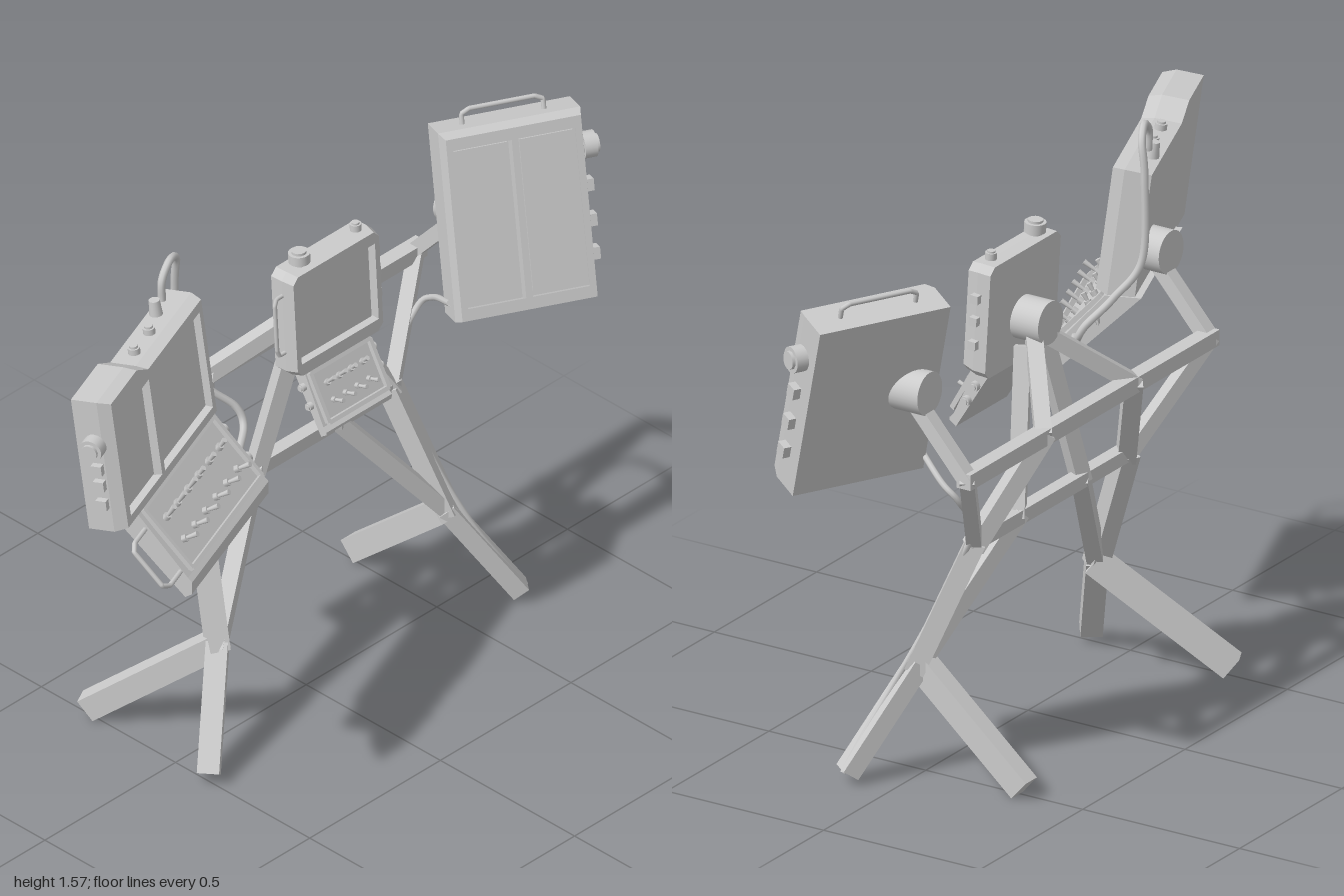
import * as THREE from 'three';

const mat = new THREE.MeshStandardMaterial({ color: 0xcccccc, side: THREE.DoubleSide });
const V = (p) => new THREE.Vector3(...p);

function add(parent, name, geo, pos = [0, 0, 0], rot = [0, 0, 0]) {
  const m = new THREE.Mesh(geo, mat);
  m.name = name;
  m.position.set(...pos);
  m.rotation.set(...rot);
  parent.add(m);
  return m;
}

function group(parent, name, pos = [0, 0, 0]) {
  const g = new THREE.Group();
  g.name = name;
  g.position.set(...pos);
  parent.add(g);
  return g;
}

// square bar between two points
function beam(parent, name, a, b, w = 0.045, h = w) {
  const A = V(a), B = V(b);
  const m = add(parent, name, new THREE.BoxGeometry(w, h, A.distanceTo(B) + w * 0.4));
  m.position.copy(A).lerp(B, 0.5);
  m.lookAt(B);
}

function tube(parent, name, pts, r, tension = 0.5) {
  const curve = new THREE.CatmullRomCurve3(pts.map(V), false, 'catmullrom', tension);
  add(parent, name, new THREE.TubeGeometry(curve, pts.length * 10, r, 8));
}

// U-shaped grip: rises from both ends along the out direction
function handle(parent, a, b, out, r = 0.007) {
  const A = V(a), B = V(b), O = V(out);
  const path = new THREE.CurvePath();
  const p = (end, k, other, t) => end.clone().addScaledVector(O, k).lerp(other.clone().addScaledVector(O, k), t);
  const pts = [A, p(A, 0.75, B, 0), p(A, 1, B, 0.1), p(B, 1, A, 0.1), p(B, 0.75, A, 0), B];
  for (let i = 0; i < 5; i++) path.add(new THREE.LineCurve3(pts[i], pts[i + 1]));
  add(parent, 'handle', new THREE.TubeGeometry(path, 60, r, 8));
}

const outlineShape = (pts) => new THREE.Shape(pts.map((p) => new THREE.Vector2(...p)));
const rect = (x0, y0, x1, y1) => [[x0, y0], [x1, y0], [x1, y1], [x0, y1]];

// monitor housing with a tapered bezel and sunken screens
function housing(parent, outline, depth, screens) {
  const bezel = 0.035;
  const back = new THREE.ExtrudeGeometry(outlineShape(outline), { depth: depth - bezel, bevelEnabled: false });
  add(parent, 'housing', back, [0, 0, -depth / 2]);
  const shape = outlineShape(outline);
  screens.forEach((s) => shape.holes.push(new THREE.Path(rect(...s).map((p) => new THREE.Vector2(...p)))));
  const front = new THREE.ExtrudeGeometry(shape, { depth: bezel, bevelEnabled: false });
  const p = front.attributes.position;
  for (let i = 0; i < p.count; i++)
    if (p.getZ(i) > bezel / 2) p.setXY(i, p.getX(i) * 0.95, p.getY(i) * 0.96);
  front.computeVertexNormals();
  add(parent, 'bezel', front, [0, 0, depth / 2 - bezel]);
  for (const [x0, y0, x1, y1] of screens)
    add(parent, 'screen', new THREE.BoxGeometry((x1 - x0) * 0.9, (y1 - y0) * 0.92, 0.016),
      [(x0 + x1) / 2 * 0.98, (y0 + y1) / 2, depth / 2 - bezel + 0.008]);
}

// knob whose axis follows x (side) or y (top)
function knob(parent, pos, r, len, axis) {
  const rot = axis === 'x' ? [0, 0, Math.PI / 2] : [0, 0, 0];
  add(parent, 'knob', new THREE.CylinderGeometry(r, r, len, 20), pos, rot);
  add(parent, 'knobCollar', new THREE.CylinderGeometry(r * 0.7, r * 0.7, len * 1.5, 12), pos, rot);
}
const button = (parent, pos, s = 0.03) => add(parent, 'sideButton', new THREE.BoxGeometry(s, s, s), pos);

// sloped control tray; returns the group lying on its top surface
function tray(parent, w, x, z0, y0, run, drop, lip, back) {
  const g = group(parent, 'controlTray', [x, y0, z0]);
  const s = outlineShape([[0, 0], [-back, 0], [run - 0.02, -drop - lip - 0.015], [run, -drop - lip],
    [run, -drop - 0.012], [run - 0.012, -drop]]);
  const geo = new THREE.ExtrudeGeometry(s, { depth: w, bevelEnabled: false });
  geo.translate(0, 0, -w / 2).rotateY(-Math.PI / 2);
  add(g, 'trayBody', geo);
  const top = group(g, 'controls', [0, -drop / 2, run / 2]);
  top.rotation.x = Math.atan2(drop, run);
  const L = Math.hypot(run, drop);
  for (const k of [-1, 1]) {
    add(top, 'trayRim', new THREE.BoxGeometry(w * 0.92, 0.014, 0.012), [0, 0.004, k * L * 0.42]);
    add(top, 'trayRim', new THREE.BoxGeometry(0.012, 0.014, L * 0.84), [k * w * 0.455, 0.004, 0]);
  }
  return top;
}

function toggles(parent, cols, rows, dx, dz, s) {
  for (let r = 0; r < rows; r++)
    for (let c = 0; c < cols; c++) {
      const len = s * (r === 0 && c >= cols / 2 ? 3 : 4.5);
      const t = group(parent, 'toggle', [(c - (cols - 1) / 2) * dx, 0, (r - (rows - 1) / 2) * dz]);
      t.rotation.x = r === 0 ? -0.3 : 0.15;
      add(t, 'toggleBase', new THREE.CylinderGeometry(s * 1.2, s * 1.2, s * 1.6, 6), [0, s * 0.6, 0]);
      add(t, 'toggleLever', new THREE.CylinderGeometry(s * 0.9, s * 0.55, len, 8), [0, len / 2 + s, 0]);
    }
}

function station(root, name, pos, yaw, pitch) {
  const g = group(root, name, pos);
  g.rotation.y = yaw;
  const head = group(g, 'monitor');
  head.rotation.x = pitch;
  return [g, head];
}

function buildFrame(root) {
  const f = group(root, 'frame');
  const cx = 0.09;
  beam(f, 'upperCrossbar', [cx - 0.6, 0.97, -0.25], [cx + 0.6, 0.97, -0.25]);
  beam(f, 'lowerCrossbar', [cx - 0.38, 0.69, -0.13], [cx + 0.38, 0.69, -0.13], 0.04);
  for (const s of [-1, 1]) {
    const P = (x, y, z) => [cx + s * x, y, z];
    const knee = P(0.44, 0.32, 0.01), hip = P(0.37, 0.68, -0.13), shoulder = P(0.22, 0.97, -0.25);
    beam(f, 'frontFoot', knee, P(0.59, 0.05, 0.125), 0.06, 0.05);
    beam(f, 'leg', knee, hip, 0.055);
    beam(f, 'upperLeg', hip, shoulder, 0.05);
    beam(f, 'hubStrut', shoulder, P(0.02, 1.15, -0.09));
    beam(f, 'innerBrace', P(0.05, 1.12, -0.075), P(0.155, 0.69, -0.125), 0.045);
    beam(f, 'lowerBrace', P(0.155, 0.69, -0.125), knee, 0.045);
    beam(f, 'outerStrut', hip, P(0.59, 0.97, -0.25), 0.04);
    beam(f, 'sideArm', P(0.59, 0.97, -0.25), P(0.59, 1.17, -0.075), 0.04);
  }
  beam(f, 'rearLeg', [-0.34, 0.32, 0], [-0.5, 0.045, -0.315], 0.055, 0.07);
  beam(f, 'rearLeg', [0.515, 0.32, 0], [0.515, 0.045, -0.315], 0.055, 0.07);
  for (const [x, z] of [[cx - 0.59, 0], [cx, -0.03], [cx + 0.59, -0.01]])
    add(f, 'mountHub', new THREE.CylinderGeometry(0.061, 0.061, z + 0.13, 32), [x, 1.19, (z - 0.13) / 2], [Math.PI / 2, 0, 0]);
}

function buildWideStation(root) {
  const [g, head] = station(root, 'wideStation', [-0.665, 1.275, 0.05], 0.36, -0.13);
  housing(head, [[-0.31, -0.19], [0.31, -0.19], [0.31, 0.18], [-0.06, 0.18], [-0.13, 0.22], [-0.31, 0.22]],
    0.11, [[-0.285, -0.165, -0.065, 0.15], [-0.045, -0.165, 0.29, 0.15]]);
  knob(head, [-0.33, 0.085, 0], 0.033, 0.035, 'x');
  for (const y of [0.01, -0.04, -0.1]) button(head, [-0.313, y, 0]);
  for (const x of [0, 0.1]) knob(head, [x, 0.185, -0.01], 0.017, 0.025, 'y');
  add(head, 'cableSocket', new THREE.CylinderGeometry(0.015, 0.019, 0.05, 16), [0.19, 0.2, -0.03]);
  const top = tray(g, 0.51, 0.06, 0.05, -0.185, 0.17, 0.18, 0.05, 0.1);
  toggles(top, 6, 2, 0.07, 0.075, 0.009);
  handle(top, [-0.25, -0.015, -0.06], [-0.25, -0.015, 0.09], [-0.1, 0, 0]);
  for (const z of [-0.05, 0.05]) knob(top, [0.265, -0.03, z], 0.017, 0.025, 'x');
  tube(root, 'cable', [[-0.48, 1.48, -0.07], [-0.475, 1.54, -0.075], [-0.43, 1.575, -0.09], [-0.38, 1.545, -0.115],
    [-0.37, 1.45, -0.13], [-0.36, 1.22, -0.13], [-0.31, 1.11, -0.07], [-0.25, 1.04, -0.02],
    [-0.25, 0.99, 0.01], [-0.32, 0.965, 0.06]], 0.011);
}

function buildCentreStation(root) {
  const [g, head] = station(root, 'centreStation', [0.09, 1.225, -0.005], 0, -0.06);
  const c = 0.02, w = 0.172, h = 0.163;
  housing(head, [[-w + c, -h], [w - c, -h], [w, -h + c], [w, h - c], [w - c, h], [-w + c, h], [-w, h - c], [-w, -h + c]],
    0.075, [[-0.155, -0.125, 0.155, 0.125]]);
  knob(head, [-0.1, 0.185, 0], 0.03, 0.028, 'y');
  knob(head, [0.115, 0.175, 0], 0.016, 0.02, 'y');
  for (const y of [0.07, 0.005, -0.065]) button(head, [0.178, y, 0], 0.024);
  handle(head, [-0.17, 0.095, 0], [-0.17, -0.085, 0], [-0.03, 0, 0], 0.006);
  const top = tray(g, 0.25, 0, 0.03, -0.155, 0.085, 0.15, 0.02, 0.05);
  toggles(top, 4, 2, 0.045, 0.05, 0.0075);
  for (const z of [-0.04, 0.015]) {
    knob(top, [0.13, -0.025, z], 0.014, 0.02, 'x');
    knob(top, [-0.13, -0.025, z], 0.011, 0.016, 'x');
  }
}

function buildTallStation(root) {
  const [, head] = station(root, 'tallStation', [0.757, 1.195, 0.04], -0.48, -0.28);
  housing(head, rect(-0.2, -0.27, 0.2, 0.27), 0.125, [[-0.18, -0.235, -0.008, 0.235], [0.012, -0.235, 0.18, 0.235]]);
  knob(head, [0.22, 0.15, 0], 0.037, 0.035, 'x');
  for (const y of [0.04, -0.06, -0.155]) button(head, [0.205, y, 0], 0.034);
  handle(head, [-0.12, 0.265, -0.01], [0.11, 0.265, -0.01], [0, 0.045, 0]);
  tube(root, 'cable', [[0.55, 0.98, 0], [0.61, 0.91, -0.12], [0.6, 0.86, -0.17], [0.51, 0.75, -0.16], [0.49, 0.63, -0.1],
    [0.525, 0.44, -0.02], [0.575, 0.28, 0.05], [0.64, 0.15, 0.1], [0.705, 0.045, 0.13]], 0.009);
}

export function createModel() {
  const root = new THREE.Group();
  root.name = 'controlStation';
  buildFrame(root);
  buildWideStation(root);
  buildCentreStation(root);
  buildTallStation(root);
  return root;
}
